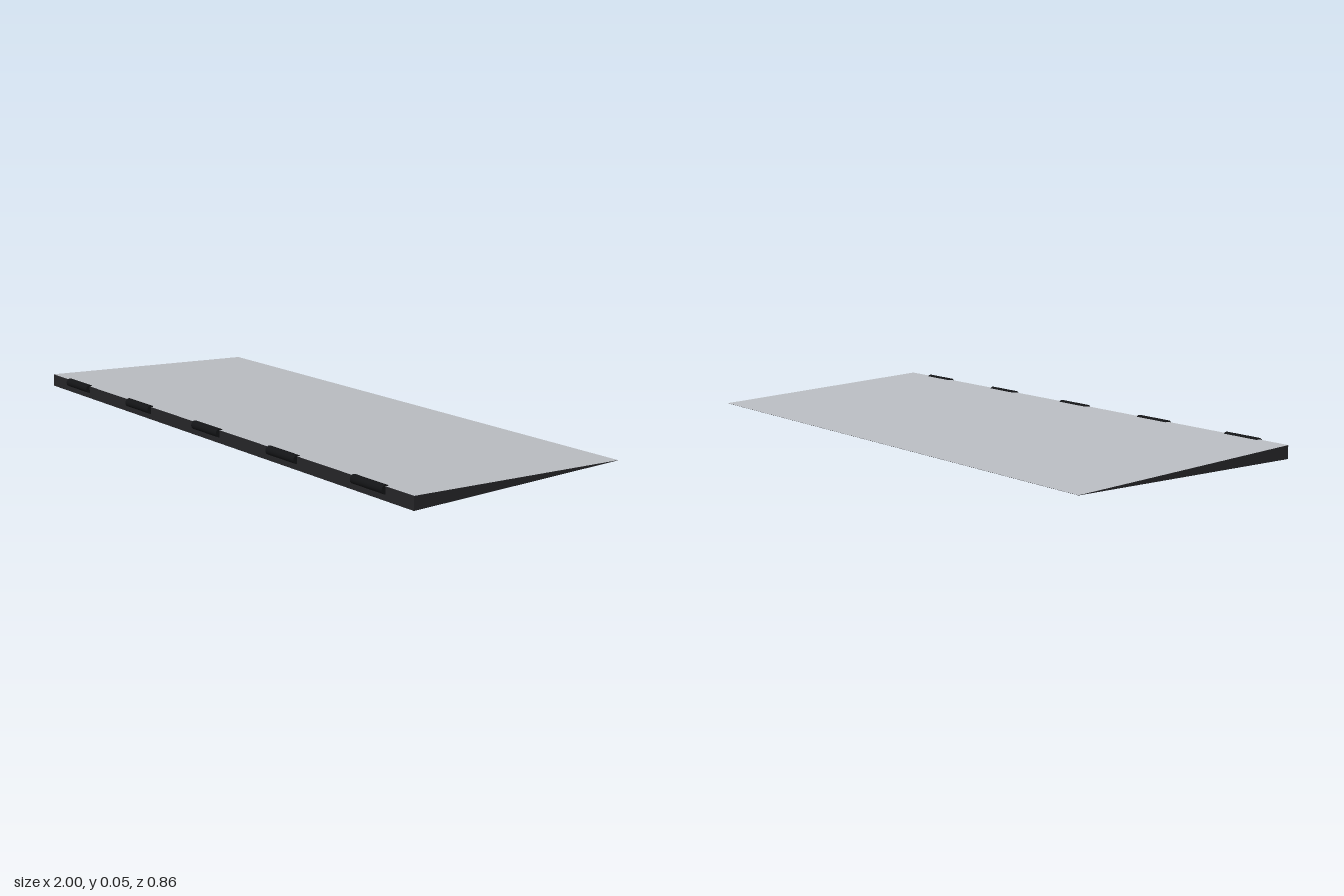
import * as THREE from 'three';

const FRONT = 0.416, BACK = -0.431, HEIGHT = 0.043;

export function createModel() {
  const group = new THREE.Group();
  const dark = new THREE.MeshStandardMaterial({ color: 0x252528 });
  const black = new THREE.MeshStandardMaterial({ color: 0x131416 });
  const pale = new THREE.MeshStandardMaterial({ color: 0xbabdc2 });

  const add = (name, geometry, material) => {
    const mesh = new THREE.Mesh(geometry, material);
    mesh.name = name;
    group.add(mesh);
    return mesh;
  };

  // Wedge body: triangular side profile (z, y) extruded across the width
  const profile = new THREE.Shape([
    new THREE.Vector2(BACK, 0),
    new THREE.Vector2(FRONT, 0),
    new THREE.Vector2(FRONT, HEIGHT),
  ]);
  const body = new THREE.ExtrudeGeometry(profile, { depth: 2, bevelEnabled: false });
  body.rotateY(-Math.PI / 2).translate(1, 0, 0);
  add('rampBody', body, dark);

  // Pale panel covering the slope, falling towards the back
  const run = FRONT - BACK;
  const panel = new THREE.PlaneGeometry(2, Math.hypot(run, HEIGHT));
  panel.rotateX(-Math.PI / 2 - Math.atan2(HEIGHT, run));
  panel.translate(0, HEIGHT / 2 + 0.0006, (FRONT + BACK) / 2);
  add('topPanel', panel, pale);

  // Five hinge barrels along the raised front edge
  const barrel = new THREE.CylinderGeometry(0.0145, 0.0145, 0.14, 24).rotateZ(Math.PI / 2);
  for (let i = -2; i <= 2; i++) {
    add('hingeBarrel', barrel, black).position.set(i * 0.405, 0.034, FRONT);
  }

  return group;
}
